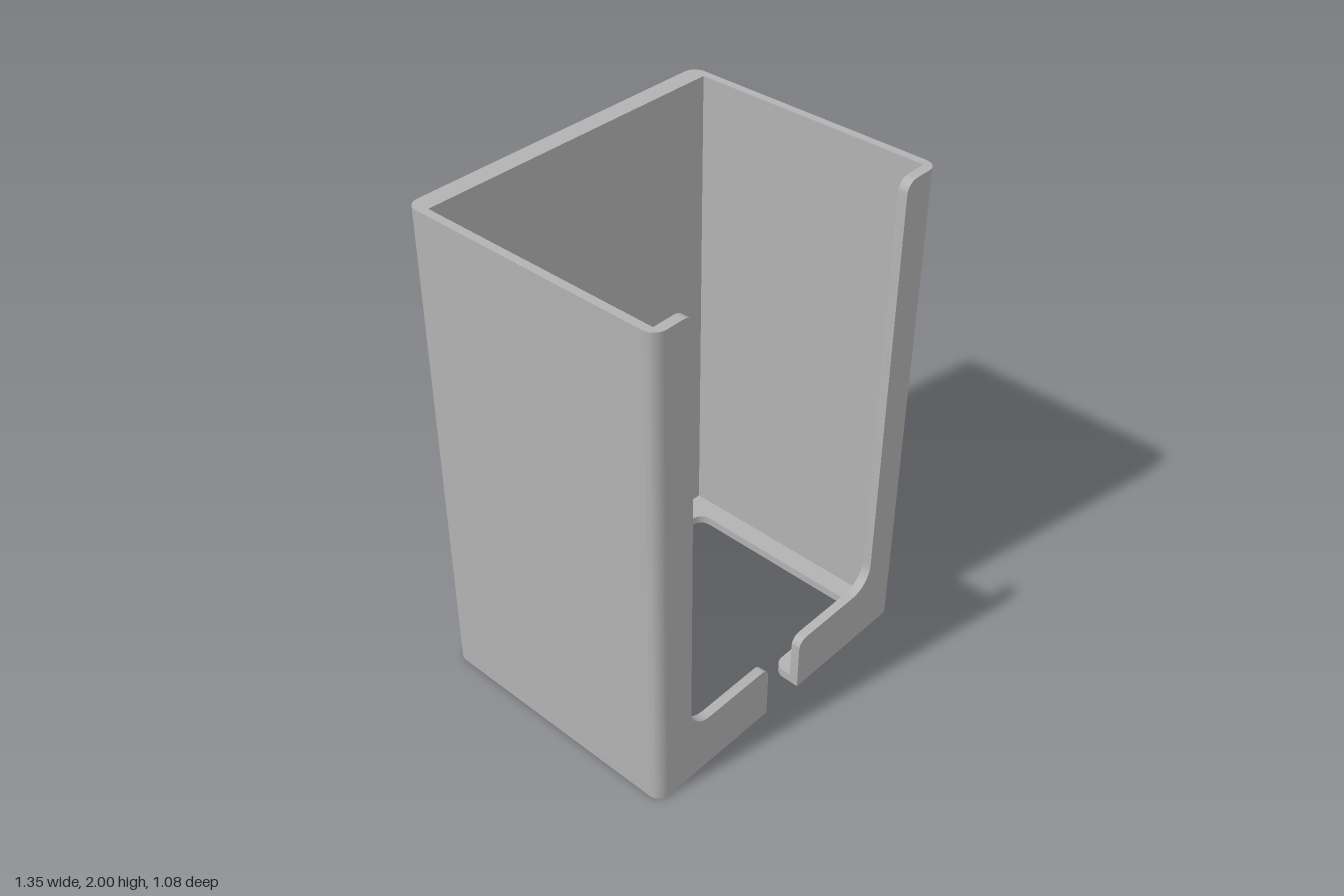
import * as THREE from 'three';
import { toCreasedNormals } from 'three/addons/utils/BufferGeometryUtils.js';

const W = 0.675, D = 0.54, H = 2;        // outer half width, half depth, height
const IX = 0.643, IB = -0.465, IF = 0.503; // inner faces: side, back, front
const FLOOR = 0.035, R = 0.05, SLOT = 0.09;

// Closed outline from [x, y, radius] corners (right-angled where rounded)
function outline(points, Type = THREE.Shape) {
  const path = new Type();
  const n = points.length;
  points.forEach(([x, y, r = 0], i) => {
    const p = new THREE.Vector2(x, y);
    const toward = (q, d) => p.clone().add(new THREE.Vector2(q[0] - x, q[1] - y).setLength(d));
    const prev = points[(i + n - 1) % n], next = points[(i + 1) % n];
    const a = r ? toward(prev, r) : p;
    if (i === 0) path.moveTo(a.x, a.y); else path.lineTo(a.x, a.y);
    if (r) {
      const c1 = toward(prev, r * 0.4477), c2 = toward(next, r * 0.4477), b = toward(next, r);
      path.bezierCurveTo(c1.x, c1.y, c2.x, c2.y, b.x, b.y);
    }
  });
  path.closePath();
  return path;
}

const extrude = (shape, depth) =>
  new THREE.ExtrudeGeometry(shape, { depth, bevelEnabled: false, curveSegments: 8 });

// Extrude a front-on (x, y) shape from z0 to z1
const panel = (shape, z0, z1) => extrude(shape, z1 - z0).translate(0, 0, z0);

// Extrude a plan (x, z) outline from y0 to y1
const plan = (points, y0, y1) =>
  extrude(outline(points.map(([x, z, r]) => [x, -z, r])), y1 - y0)
    .rotateX(-Math.PI / 2).translate(0, y0, 0);

export function createModel() {
  const group = new THREE.Group();
  const grey = new THREE.MeshStandardMaterial({ color: 0xb2b2b2 });
  grey.name = 'grey plastic';
  const add = (name, geometry) => {
    const mesh = new THREE.Mesh(toCreasedNormals(geometry, 0.5), grey);
    mesh.name = name;
    group.add(mesh);
  };

  // Floor rim with a large opening and a slot through the front
  add('floorRim', plan([
    [-W, -D, R], [W, -D, R], [W, D, R], [SLOT, D],
    [SLOT, 0.42, R], [0.56, 0.42, R], [0.56, -0.38, R],
    [-0.56, -0.38, R], [-0.56, 0.42, R], [-SLOT, 0.42, R],
    [-SLOT, D], [-W, D, R],
  ], 0, FLOOR));

  for (const [side, s] of [['left', 1], ['right', -1]]) {
    // Side wall including the rounded outer corners
    const e = W - R;
    add(side + 'Wall', plan([
      [s * e, D], [s * W, D, R], [s * W, -D, R], [s * e, -D],
      [s * e, IB], [s * IX, IB], [s * IX, IF], [s * e, IF],
    ], FLOOR, H));

    // Front lip: narrow upright with a low foot reaching to the slot
    add(side + 'FrontLip', panel(outline([
      [s * e, FLOOR], [s * e, H], [s * 0.51, H, 0.045],
      [s * 0.51, 0.237, 0.1], [s * SLOT, 0.237, 0.04], [s * SLOT, FLOOR],
    ]), IF, D));
  }

  // Back wall: pocketed outer layer over a plain inner layer
  const backOutline = () => outline([[-W + R, FLOOR], [W - R, FLOOR], [W - R, H], [-W + R, H]]);
  const pocket = [
    [0, 0], [0.352, 0], [0.352, 0.228], [0.28, 0.357],
    [0.147, 0.357], [0.102, 0.29], [0.102, 0.225], [0, 0.135],
  ];
  const pocketed = backOutline();
  for (const x0 of [0.47, 0.005]) {
    for (let row = 0; row < 4; row++) {
      const y0 = 0.067 + row * 0.473;
      pocketed.holes.push(outline(pocket.map(([u, v]) => [x0 - u, y0 + v]), THREE.Path));
    }
  }
  const pocketFloor = -D + 0.05;
  add('backWallPockets', panel(pocketed, -D, pocketFloor));
  add('backWallInner', panel(backOutline(), pocketFloor, IB));

  // Fill the strips between the inner back layer and the side walls is part of the side walls
  return group;
}
